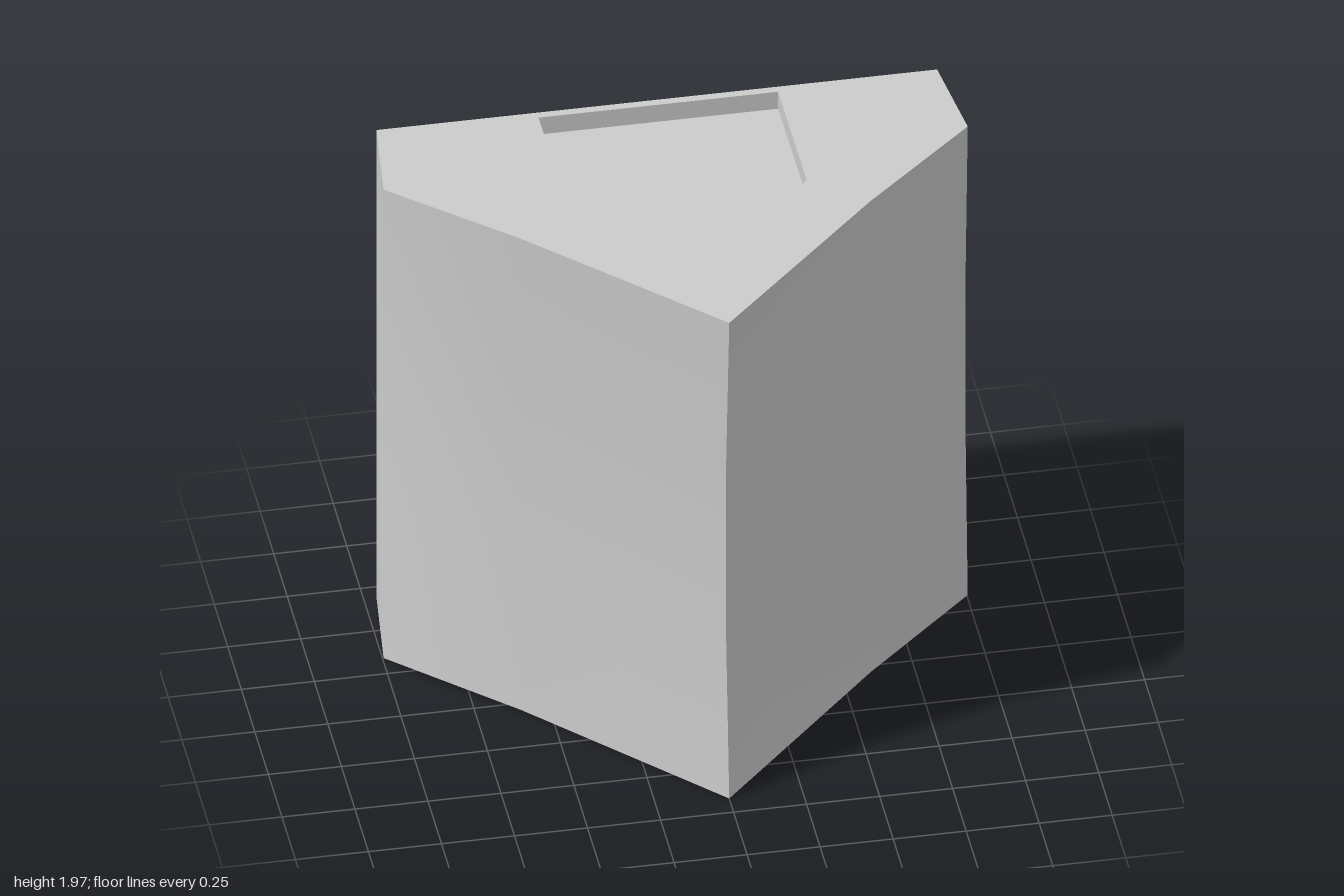
import * as THREE from 'three';

const material = new THREE.MeshStandardMaterial({ color: 0xcccccc, side: THREE.DoubleSide });

// Plan of one half, tip to back corner: x, z, and how far mid-height is drawn back
const half = [[0, 0.67, 0.06], [0.6, 0.05, 0.05], [1, -0.32, 0.04], [0.96, -0.67, 0]];
const pocket = [[0, 0.36], [0.41, -0.11], [0.41, -0.64], [-0.41, -0.64], [-0.41, -0.11]];
const outline = [...half, ...half.slice(1).reverse().map(([x, z]) => [-x, z])];
const pocketDepth = 0.07;

// The caps slope slightly outward towards the front tip
const slope = (z) => 0.02 * (z + 0.67) / 1.34;
const topY = (z) => 1.95 + slope(z);
const bottomY = (z) => 0.02 - slope(z);

function mesh(name, geometry) {
  const m = new THREE.Mesh(geometry, material);
  m.name = name;
  return m;
}

// Grid of columns by rows, smooth unless flat
function grid(columns, rows, point, flip, flat) {
  const positions = [], index = [];
  for (let i = 0; i < columns; i++) {
    for (let j = 0; j < rows; j++) positions.push(...point(i, j));
  }
  for (let i = 0; i < columns - 1; i++) {
    for (let j = 0; j < rows - 1; j++) {
      const a = i * rows + j, b = a + rows;
      if (flip) index.push(a, b + 1, b, a, a + 1, b + 1);
      else index.push(a, b, b + 1, a, b + 1, a + 1);
    }
  }
  let g = new THREE.BufferGeometry();
  g.setAttribute('position', new THREE.Float32BufferAttribute(positions, 3));
  g.setIndex(index);
  if (flat) g = g.toNonIndexed();
  g.computeVertexNormals();
  return g;
}

// Flat plate facing up or down, its height following a rule
function plate(points, height, up, hole) {
  const toVectors = (pts) => pts.map(([x, z]) => new THREE.Vector2(x, up ? -z : z));
  const shape = new THREE.Shape(toVectors(points));
  if (hole) shape.holes.push(new THREE.Path(toVectors(hole)));
  const g = new THREE.ShapeGeometry(shape);
  g.rotateX(up ? -Math.PI / 2 : Math.PI / 2);
  const p = g.attributes.position;
  for (let i = 0; i < p.count; i++) p.setY(i, height(p.getZ(i)));
  g.computeVertexNormals();
  return g;
}

export function createModel() {
  const group = new THREE.Group();

  // Two mirrored walls meeting at a sharp front edge, hollowed at mid-height
  for (const side of [1, -1]) {
    const wall = grid(half.length, 4, (i, j) => {
      const [x, z, inset] = half[i];
      const y = THREE.MathUtils.lerp(bottomY(z), topY(z), j / 3);
      return [side * x, y, z - (j === 1 || j === 2 ? inset : 0)];
    }, side < 0, false);
    group.add(mesh(side > 0 ? 'leftWall' : 'rightWall', wall));
  }

  // Caps; the back stays open
  group.add(mesh('topCap', plate(outline, topY, true, pocket)));
  group.add(mesh('bottomCap', plate(outline, bottomY, false)));

  // Sunken five-sided pocket in the top
  const floorY = (z) => topY(z) - pocketDepth;
  group.add(mesh('pocketFloor', plate(pocket, floorY, true)));
  group.add(mesh('pocketSides', grid(pocket.length + 1, 2, (i, j) => {
    const [x, z] = pocket[i % pocket.length];
    return [x, j ? topY(z) : floorY(z), z];
  }, true, true)));

  return group;
}
